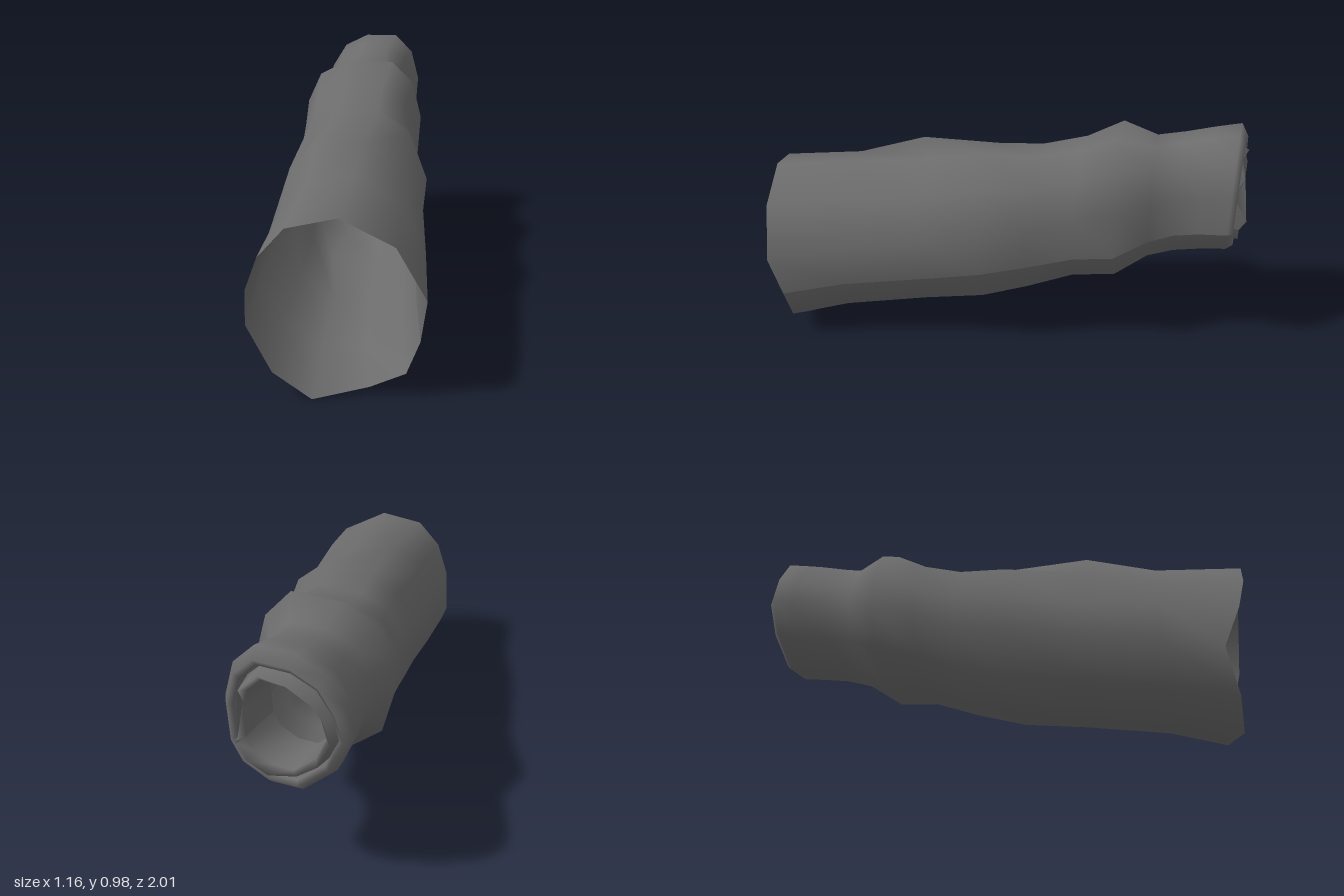
import * as THREE from 'three';

// Cross-sections in unit (u, v): u across, v up. They start and end on the sewn seam.
const shoulderSection = [
  [0.89, -0.34], [1, 0.16], [0.69, 0.72], [0.12, 1], [-0.41, 0.89], [-0.7, 0.58],
  [-0.88, 0.2], [-1, -0.27], [-0.66, -0.72], [-0.23, -1], [0.31, -0.93], [0.73, -0.72],
];
const wristSection = [
  [0.95, -0.45], [1, 0.2], [0.85, 0.7], [0.5, 1], [-0.13, 0.98], [-0.6, 0.77],
  [-0.89, 0.36], [-1, -0.05], [-0.74, -0.57], [-0.2, -1], [0.3, -1], [0.75, -0.78],
];

// Stations: left x, left z, right x, right z, bottom y, top y, blend towards the wrist section
const sleeveRings = [
  [-0.06, 1.01, 0.58, 0.80, 0.0, 0.715, 0],
  [-0.14, 0.70, 0.47, 0.52, 0.06, 0.755, 0.1],
  [-0.22, 0.40, 0.34, 0.20, 0.11, 0.785, 0.2],
  [-0.30, 0.10, 0.27, -0.03, 0.15, 0.84, 0.45],
  [-0.355, -0.08, 0.17, -0.20, 0.20, 0.83, 0.6],
  [-0.42, -0.25, 0.09, -0.37, 0.265, 0.87, 0.8],
  [-0.48, -0.41, 0.055, -0.53, 0.285, 0.94, 1],
  [-0.475, -0.54, -0.05, -0.64, 0.37, 0.90, 1],
  [-0.50, -0.66, -0.10, -0.73, 0.40, 0.92, 1],
  [-0.55, -0.79, -0.115, -0.83, 0.42, 0.95, 1],
  [-0.58, -0.87, -0.115, -0.945, 0.44, 0.975, 1],
  // rolled hem turning into the cuff
  [-0.555, -0.905, -0.13, -0.965, 0.465, 0.93, 1],
  [-0.535, -0.895, -0.15, -0.955, 0.485, 0.91, 1],
  [-0.535, -0.84, -0.15, -0.90, 0.48, 0.91, 1],
];
// Loose lining that peeks out of the cuff and runs back inside
const liningRings = [
  [-0.525, -0.85, -0.155, -0.91, 0.49, 0.90, 1],
  [-0.515, -0.92, -0.165, -0.98, 0.495, 0.87, 1],
  [-0.49, -0.90, -0.18, -0.94, 0.52, 0.85, 1],
  [-0.47, -0.72, -0.17, -0.76, 0.52, 0.85, 1],
];

// Small cloth folds: [ring, column, dx, dy, dz]
const sleeveFolds = [
  // wavy shoulder edge
  [0, 0, 0, 0, -0.045],
  [0, 2, 0, 0, 0.015],
  [0, 3, 0, 0, 0.02],
  [0, 4, 0, 0, 0.03],
  [0, 5, 0, 0, 0.03],
  [0, 7, 0, 0, -0.07],
  [0, 8, 0, 0, -0.025],
  [0, 9, 0, 0, -0.02],
  [0, 10, 0, 0, -0.085],
  [0, 11, 0, 0, -0.06],
  // crest on the upper arm
  [2, 4, 0, 0.05, 0.04],
  [2, 5, -0.015, 0.025, 0.04],
  [3, 0, 0, 0.01, 0],
  [3, 4, -0.02, -0.01, 0],
  [3, 5, -0.025, 0.025, 0],
  [3, 6, -0.015, 0.01, 0],
  [3, 9, -0.07, 0.005, -0.03],
  [4, 0, 0, 0.01, 0],
  [4, 4, -0.02, 0, 0],
  [4, 5, -0.025, 0.025, 0],
  [4, 6, -0.015, 0.01, 0],
  // bulge at the elbow
  [5, 4, -0.02, 0, 0],
  [5, 5, -0.03, 0.015, 0],
  [5, 6, -0.015, 0, 0],
  [6, 3, 0.01, 0, 0.03],
  [6, 4, -0.025, 0.005, 0.02],
  [6, 5, -0.035, 0, 0.01],
  [6, 6, -0.02, 0, 0],
  [6, 8, -0.03, 0, 0],
];
const liningFolds = [
  [1, 1, -0.03, -0.09, -0.02],
  [1, 3, 0, 0, 0.02],
  [1, 5, 0, -0.02, 0.01],
  [1, 9, 0, 0, 0.03],
];

// Lofts a cloth tube through the stations; the seam column is doubled for a crease
function clothTube(name, rings, folds) {
  const n = shoulderSection.length;
  const positions = [], index = [];
  rings.forEach(([lx, lz, rx, rz, bottom, top, blend], r) => {
    for (let i = 0; i <= n; i++) {
      const c = i % n;
      const u = THREE.MathUtils.lerp(shoulderSection[c][0], wristSection[c][0], blend);
      const v = THREE.MathUtils.lerp(shoulderSection[c][1], wristSection[c][1], blend);
      const p = new THREE.Vector3(
        THREE.MathUtils.lerp(lx, rx, (u + 1) / 2),
        THREE.MathUtils.lerp(bottom, top, (v + 1) / 2),
        THREE.MathUtils.lerp(lz, rz, (u + 1) / 2),
      );
      for (const [fr, fc, dx, dy, dz] of folds) {
        if (fr === r && fc === c) p.add(new THREE.Vector3(dx, dy, dz));
      }
      positions.push(p.x, p.y, p.z);
      if (r < rings.length - 1 && i < n) {
        const a = r * (n + 1) + i, b = a + 1, d = a + n + 1, e = d + 1;
        index.push(a, d, b, b, d, e);
      }
    }
  });
  const geometry = new THREE.BufferGeometry();
  geometry.setAttribute('position', new THREE.Float32BufferAttribute(positions, 3));
  geometry.setIndex(index);
  geometry.computeVertexNormals();
  const mesh = new THREE.Mesh(geometry, new THREE.MeshStandardMaterial({
    color: 0x6c6c6c, side: THREE.DoubleSide,
  }));
  mesh.name = name;
  return mesh;
}

export function createModel() {
  const group = new THREE.Group();
  group.name = 'sleeve';
  group.add(
    clothTube('sleeveBody', sleeveRings, sleeveFolds),
    clothTube('cuffLining', liningRings, liningFolds),
  );
  return group;
}
